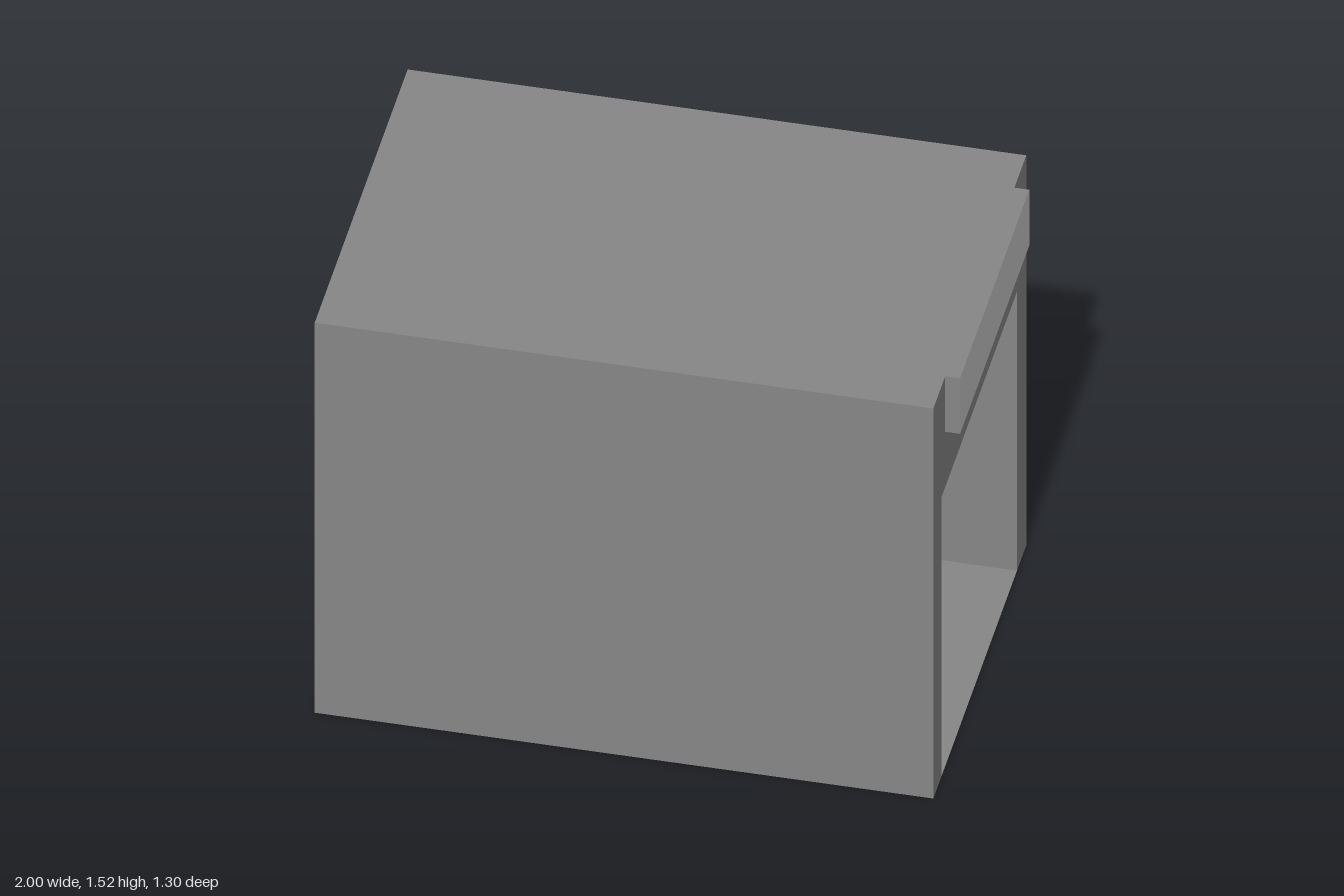
import * as THREE from 'three';

const LEFT = -1, RIGHT = 0.953, HEIGHT = 1.523, HALF = 0.65;
const OPEN_BACK = -0.52, OPEN_FRONT = 0.535, OPEN_TOP = 1.09;

export function createModel() {
  const model = new THREE.Group();
  model.name = 'tunnelHousing';
  const grey = new THREE.MeshStandardMaterial({ color: 0x868686, side: THREE.DoubleSide });
  grey.name = 'grey';
  const paleGrey = new THREE.MeshStandardMaterial({ color: 0xc6c6c6 });
  paleGrey.name = 'paleGrey';

  const add = (name, geometry, material = grey) => {
    const mesh = new THREE.Mesh(geometry, material);
    mesh.name = name;
    model.add(mesh);
  };
  const length = RIGHT - LEFT, midX = (RIGHT + LEFT) / 2;

  // Upright sheet running along x; facing is 1 for +z or -1 for -z
  const sideSheet = (name, z, height, facing) => {
    const g = new THREE.PlaneGeometry(length, height);
    if (facing < 0) g.rotateY(Math.PI);
    add(name, g.translate(midX, height / 2, z));
  };
  // Level sheet; facing is 1 for up or -1 for down
  const levelSheet = (name, y, z0, z1, facing) => {
    const g = new THREE.PlaneGeometry(length, z1 - z0).rotateX(-facing * Math.PI / 2);
    add(name, g.translate(midX, y, (z0 + z1) / 2));
  };

  // Outer shell, open at the -x end
  sideSheet('frontWall', HALF, HEIGHT, 1);
  sideSheet('backWall', -HALF, HEIGHT, -1);
  levelSheet('roof', HEIGHT, -HALF, HALF, 1);
  levelSheet('floor', 0, -HALF, HALF, -1);

  // Inner tunnel running the whole length
  sideSheet('tunnelFrontWall', OPEN_FRONT, OPEN_TOP, -1);
  sideSheet('tunnelBackWall', OPEN_BACK, OPEN_TOP, 1);
  levelSheet('tunnelCeiling', OPEN_TOP, OPEN_BACK, OPEN_FRONT, -1);

  // End wall with a doorway, drawn in (-z, y) and turned to face +x
  const wall = new THREE.Shape([
    [-HALF, 0], [-OPEN_FRONT, 0], [-OPEN_FRONT, OPEN_TOP], [-OPEN_BACK, OPEN_TOP],
    [-OPEN_BACK, 0], [HALF, 0], [HALF, HEIGHT], [-HALF, HEIGHT],
  ].map(([u, v]) => new THREE.Vector2(u, v)));
  add('doorwayWall', new THREE.ShapeGeometry(wall).rotateY(Math.PI / 2).translate(RIGHT, 0, 0));

  // Sign box above the doorway with a pale outer face
  const sign = new THREE.BoxGeometry(1 - RIGHT, HEIGHT - 1.306, 0.968);
  sign.translate((1 + RIGHT) / 2, (HEIGHT + 1.306) / 2, 0);
  add('signBox', sign, [paleGrey, grey, grey, grey, grey, grey]);

  return model;
}
